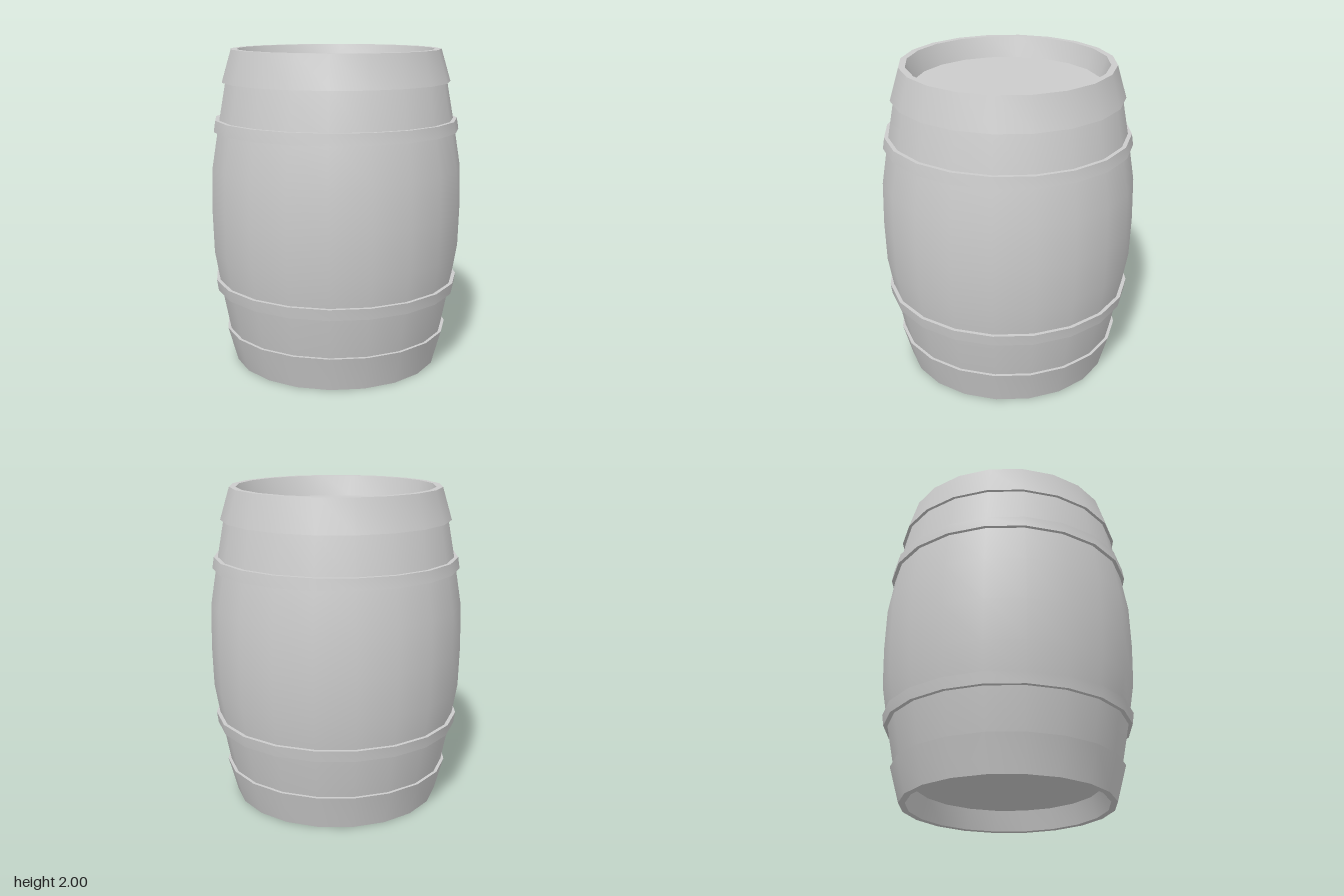
import * as THREE from 'three';
import { toCreasedNormals } from 'three/addons/utils/BufferGeometryUtils.js';

const SIDES = 20;
const material = new THREE.MeshStandardMaterial({ color: 0xcccccc });

// Revolve a [radius, height] profile, smooth around and sharp at the rims
function revolve(name, profile) {
  const points = profile.map(([r, y]) => new THREE.Vector2(r, y));
  const geometry = toCreasedNormals(new THREE.LatheGeometry(points, SIDES), Math.PI / 6);
  const mesh = new THREE.Mesh(geometry, material);
  mesh.name = name;
  return mesh;
}

// Flat round head closing one end of the barrel
function head(name, y, facing) {
  const mesh = new THREE.Mesh(new THREE.CircleGeometry(0.58, SIDES), material);
  mesh.name = name;
  mesh.rotation.x = -facing * Math.PI / 2;
  mesh.position.y = y;
  return mesh;
}

export function createModel() {
  const barrel = new THREE.Group();
  barrel.name = 'barrel';

  // Bulging staves, with the tapered recess walls at both ends
  barrel.add(revolve('staves', [
    [0.58, 0.13], [0.62, 0], [0.64, 0], [0.70, 0.22], [0.755, 0.51],
    [0.793, 0.74], [0.80, 1], [0.793, 1.27], [0.755, 1.5],
    [0.70, 1.8], [0.64, 2], [0.62, 2], [0.58, 1.87],
  ]));

  // Heads set into the ends
  barrel.add(head('topHead', 1.87, 1), head('bottomHead', 0.13, -1));

  // Wide hoops around the ends
  barrel.add(revolve('bottomEndHoop', [[0.64, 0], [0.66, 0], [0.72, 0.22], [0.69, 0.22]]));
  barrel.add(revolve('topEndHoop', [[0.69, 1.8], [0.72, 1.8], [0.66, 2], [0.64, 2]]));

  // Narrow hoops around the shoulders
  barrel.add(revolve('lowerHoop', [[0.73, 0.48], [0.775, 0.48], [0.785, 0.55], [0.74, 0.55]]));
  barrel.add(revolve('upperHoop', [[0.74, 1.5], [0.778, 1.5], [0.767, 1.57], [0.73, 1.57]]));

  return barrel;
}
